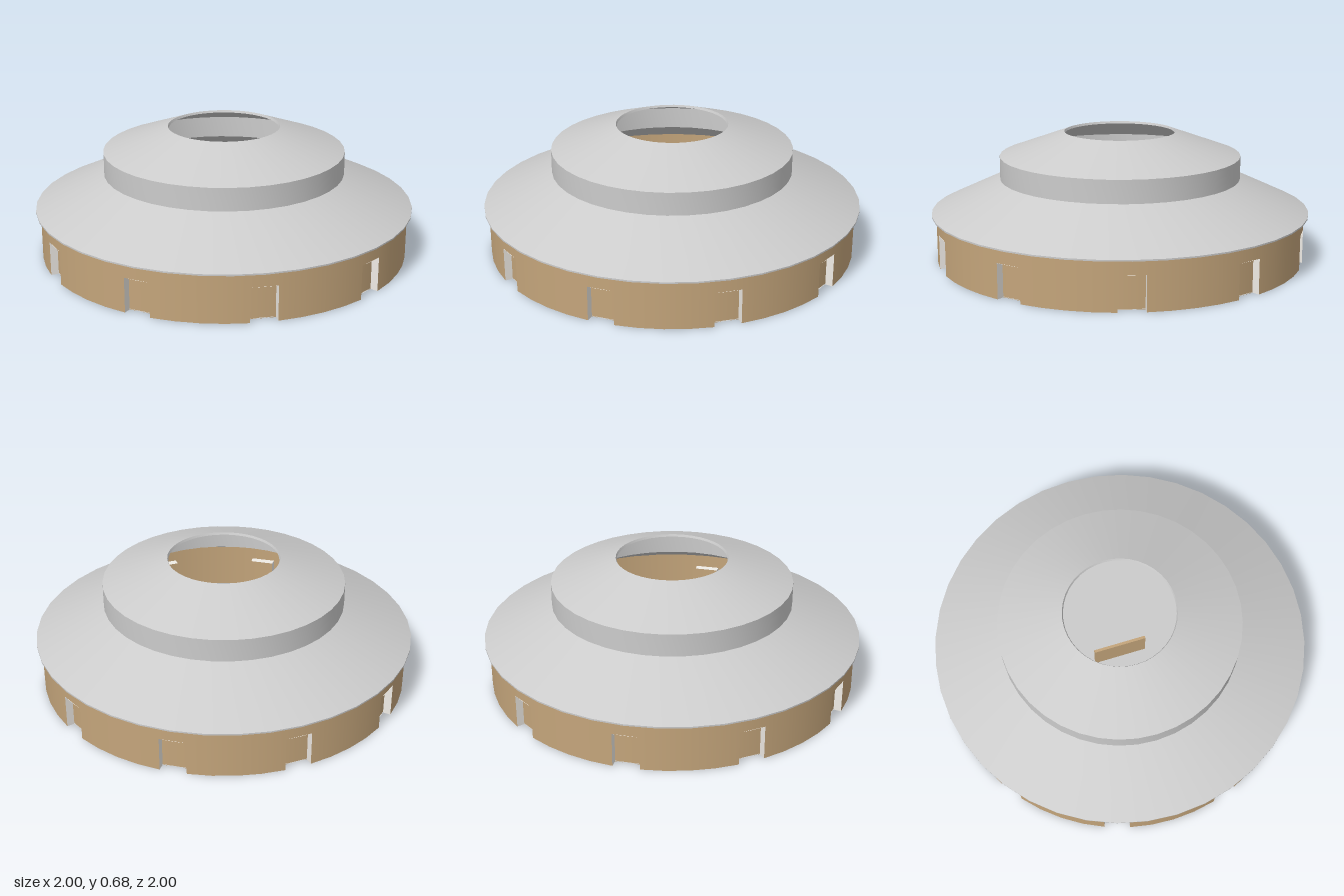
import * as THREE from 'three';
import { toCreasedNormals } from 'three/addons/utils/BufferGeometryUtils.js';

export function createModel() {
  const model = new THREE.Group();
  const grey = new THREE.MeshStandardMaterial({ color: 0xcccccc, side: THREE.DoubleSide });
  const tan = new THREE.MeshStandardMaterial({ color: 0xc4a57b, side: THREE.DoubleSide });
  const pale = new THREE.MeshStandardMaterial({ color: 0xf0ece6, side: THREE.DoubleSide });

  const R = 0.975, INNER = 0.935;      // wall face and recessed door face
  const WALL_H = 0.255, DOOR_H = 0.18;
  const DOORS = 10, STEP = (Math.PI * 2) / DOORS, HALF = 0.0695;

  const add = (parent, name, geometry, material) => {
    const mesh = new THREE.Mesh(geometry, material);
    mesh.name = name;
    parent.add(mesh);
    return mesh;
  };

  // Curved upright panel between two heights, spanning an arc
  const arc = (radius, y0, y1, start, span, segments) =>
    new THREE.CylinderGeometry(radius, radius, y1 - y0, segments, 1, true, start, span)
      .translate(0, (y0 + y1) / 2, 0);

  // Thin two-tiered roof shell with a round smoke opening
  const profile = [
    [0.29, 0.663], [0.627, 0.541], [0.627, 0.424], [0.975, 0.252],
    [1, 0.252], [1, 0.26], [0.637, 0.43], [0.637, 0.55], [0.295, 0.675], [0.29, 0.663],
  ].map(([x, y]) => new THREE.Vector2(x, y));
  add(model, 'roof', toCreasedNormals(new THREE.LatheGeometry(profile, 40), 0.35), grey);

  // Ring wall with recessed doorways
  const wall = new THREE.Group();
  wall.name = 'wall';
  model.add(wall);
  for (let i = 0; i < DOORS; i++) {
    const angle = Math.PI / 2 + i * STEP;
    add(wall, 'wallPanel', arc(R, 0, WALL_H, angle + HALF, STEP - 2 * HALF, 4), tan);
    add(wall, 'wallAboveDoor', arc(R, DOOR_H, WALL_H, angle - HALF, 2 * HALF, 1), tan);
    add(wall, 'door', arc(INNER, 0, DOOR_H, angle - HALF, 2 * HALF, 1), tan);

    // Door lintel
    const lintel = new THREE.RingGeometry(INNER, R, 1, 1, angle - Math.PI / 2 - HALF, 2 * HALF)
      .rotateX(Math.PI / 2);
    add(wall, 'lintel', lintel, pale).position.y = DOOR_H;

    // Door jambs
    for (const side of [-1, 1]) {
      const jamb = new THREE.PlaneGeometry(R - INNER, DOOR_H)
        .translate((R + INNER) / 2, DOOR_H / 2, 0)
        .rotateY(angle + side * HALF - Math.PI / 2);
      add(wall, 'jamb', jamb, pale);
    }
  }

  // Floor
  const floor = new THREE.CircleGeometry(0.94, 40).rotateX(-Math.PI / 2);
  add(model, 'floor', floor, grey).position.y = 0.004;

  // Upright board in the middle of the floor
  add(model, 'centreBoard', new THREE.BoxGeometry(0.29, DOOR_H, 0.015).translate(0, DOOR_H / 2, 0), tan);

  return model;
}
